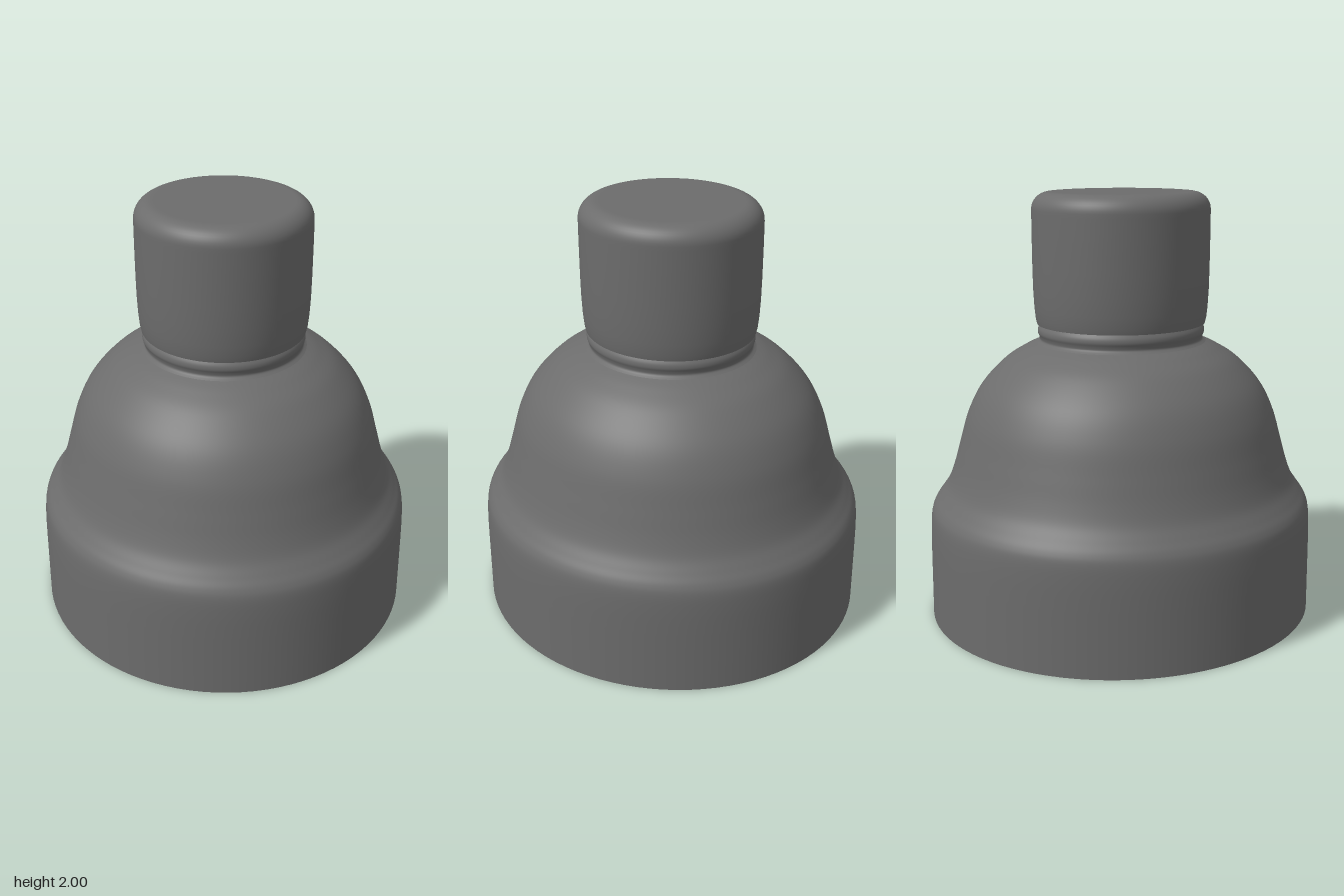
import * as THREE from 'three';

const DEPTH = 1.047; // the plan is slightly longer in z than in x
const material = new THREE.MeshStandardMaterial({ color: 0x6c6c6c, side: THREE.DoubleSide });
const toPoints = (pairs) => pairs.map(([r, y]) => new THREE.Vector2(r, y));

// Smooth elliptical shell turned from a profile that runs bottom to top
function turned(name, points) {
  const geometry = new THREE.LatheGeometry(points, 96);
  geometry.scale(1, 1, DEPTH);
  const mesh = new THREE.Mesh(geometry, material);
  mesh.name = name;
  return mesh;
}

export function createModel() {
  const group = new THREE.Group();
  group.name = 'domedBottle';

  // Open-bottomed skirt, soft shoulder step and dome
  const dome = new THREE.SplineCurve(toPoints([
    [0.89, 0.3], [0.888, 0.42], [0.882, 0.505], [0.867, 0.55], [0.838, 0.593], [0.802, 0.65],
    [0.773, 0.73], [0.743, 0.84], [0.703, 0.98], [0.64, 1.105], [0.54, 1.215], [0.45, 1.275], [0.388, 1.305],
  ])).getPoints(72);
  group.add(turned('body', [...toPoints([[0.892, 0], [0.891, 0.15]]), ...dome]));

  // Neck with a small rounded bead under the cap
  const neck = new THREE.SplineCurve(toPoints([
    [0.388, 1.305], [0.373, 1.318], [0.375, 1.335], [0.381, 1.352], [0.379, 1.372], [0.368, 1.392],
  ])).getPoints(20);
  group.add(turned('neck', neck));

  // Cap underside
  group.add(turned('capUnderside', toPoints([[0.366, 1.392], [0.384, 1.392]])));

  // Cap wall, rounded rim and flat top
  const cap = toPoints([[0.384, 1.392], [0.39, 1.42], [0.395, 1.47], [0.399, 1.55], [0.401, 1.65], [0.402, 1.8], [0.402, 1.9]]);
  const R = 0.08;
  for (let i = 0; i <= 10; i++) {
    const a = (i / 10) * Math.PI / 2;
    cap.push(new THREE.Vector2(0.322 + R * Math.cos(a), 1.92 + R * Math.sin(a)));
  }
  cap.push(...toPoints([[0.31, 2], [0, 2]]));
  group.add(turned('cap', cap));

  return group;
}
